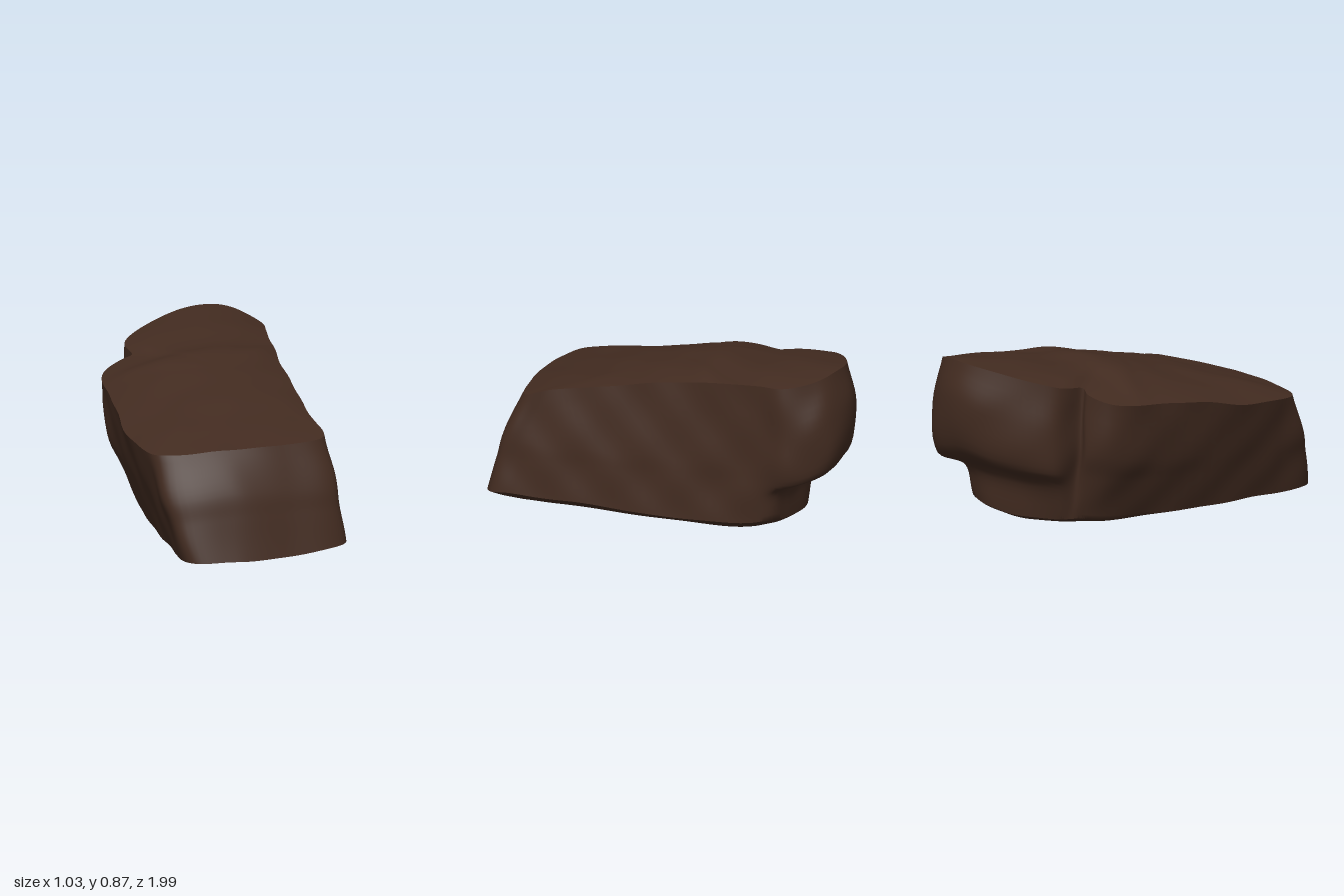
import * as THREE from 'three';
import { toCreasedNormals } from 'three/addons/utils/BufferGeometryUtils.js';

// Matching control loops, anticlockwise from above: front (0-3), right (4-8), back (9-12), notch and left (13-18)
const RIM = [
  [-0.43, 0.545, 0.74], [-0.1, 0.565, 0.79], [0.2, 0.57, 0.77], [0.43, 0.58, 0.7],
  [0.425, 0.62, 0.56], [0.42, 0.68, 0.28], [0.43, 0.77, -0.2], [0.47, 0.81, -0.6],
  [0.48, 0.82, -0.74], [0.38, 0.86, -0.91], [0.2, 0.875, -0.95], [0, 0.85, -0.88],
  [-0.245, 0.78, -0.69], [-0.255, 0.75, -0.52], [-0.3, 0.73, -0.53], [-0.42, 0.685, -0.46],
  [-0.475, 0.65, -0.1], [-0.51, 0.565, 0.4], [-0.485, 0.55, 0.62],
];
const MIDDLE = [
  [-0.41, 0.32, 0.84], [-0.1, 0.36, 0.895], [0.2, 0.36, 0.87], [0.47, 0.34, 0.805],
  [0.48, 0.34, 0.68], [0.485, 0.35, 0.3], [0.485, 0.38, -0.2], [0.49, 0.42, -0.62],
  [0.505, 0.52, -0.77], [0.4, 0.64, -0.955], [0.21, 0.7, -1], [0, 0.62, -0.93],
  [-0.25, 0.55, -0.71], [-0.25, 0.45, -0.53], [-0.3, 0.42, -0.54], [-0.4, 0.4, -0.46],
  [-0.42, 0.35, -0.15], [-0.43, 0.32, 0.4], [-0.43, 0.32, 0.66],
];
const BASE = [
  [-0.33, 0.02, 0.93], [-0.1, 0.03, 0.99], [0.2, 0.03, 0.95], [0.5, 0.06, 0.87],
  [0.515, 0.07, 0.75], [0.515, 0.07, 0.3], [0.51, 0.06, -0.2], [0.48, 0.08, -0.57],
  [0.43, 0.09, -0.66], [0.34, 0.08, -0.69], [0.2, 0.07, -0.7], [0.02, 0.06, -0.68],
  [-0.15, 0.06, -0.6], [-0.19, 0.06, -0.54], [-0.21, 0.06, -0.5], [-0.26, 0.05, -0.4],
  [-0.3, 0.04, -0.15], [-0.33, 0.02, 0.4], [-0.34, 0.02, 0.72],
];
// Overhanging lip at the back: [lip, recess below it]
const LIP = {
  8: [[0.49, 0.31, -0.77], [0.45, 0.25, -0.7]],
  9: [[0.38, 0.37, -0.935], [0.36, 0.26, -0.73]],
  10: [[0.2, 0.4, -0.955], [0.2, 0.26, -0.72]],
  11: [[0, 0.37, -0.89], [0.01, 0.26, -0.71]],
  12: [[-0.24, 0.33, -0.7], [-0.2, 0.25, -0.65]],
};
// Profile of the sloping top along the length
const ridge = new THREE.CatmullRomCurve3([
  [0, 0.88, -1], [0, 0.88, -0.9], [0, 0.855, -0.6], [0, 0.82, -0.36], [0, 0.825, -0.22], [0, 0.775, 0],
  [0, 0.68, 0.38], [0, 0.615, 0.62], [0, 0.59, 0.71], [0, 0.56, 0.8],
].map((p) => new THREE.Vector3(...p)), false, 'centripetal').getPoints(90);

const ridgeHeight = (z) => {
  const i = ridge.findIndex((p) => p.z >= z);
  if (i <= 0) return ridge.at(i).y;
  return THREE.MathUtils.mapLinear(z, ridge[i - 1].z, ridge[i].z, ridge[i - 1].y, ridge[i].y);
};

function rockGeometry() {
  const vec = (p) => new THREE.Vector3(...p);
  const mix = (i, t) => vec(MIDDLE[i]).lerp(vec(BASE[i]), t);
  const lip = MIDDLE.map((_, i) => (LIP[i] ? vec(LIP[i][0]) : mix(i, 0.35)));
  const recess = MIDDLE.map((_, i) => (LIP[i] ? vec(LIP[i][1]) : mix(i, 0.65)));
  const N = RIM.length * 9;
  const loops = [RIM.map(vec), MIDDLE.map(vec), lip, recess, BASE.map(vec)].map((points) => {
    const curve = new THREE.CatmullRomCurve3(points, true, 'centripetal');
    return Array.from({ length: N }, (_, j) => curve.getPoint(j / N));
  });

  const rings = [];
  // Top: loops growing from the centre to the rim
  for (let k = 0; k < 20; k++) {
    const s = Math.max(k / 20, 0.001);
    rings.push(loops[0].map((p) => {
      const x = 0.1 + (p.x - 0.1) * s, z = p.z * s;
      return new THREE.Vector3(x, ridgeHeight(z) + (p.y - ridgeHeight(p.z)) * s ** 2.2, z);
    }));
  }
  // Walls: a curve down each column
  const columns = loops[0].map((_, j) => new THREE.CatmullRomCurve3(loops.map((l) => l[j]), false, 'centripetal'));
  for (let k = 0; k <= 24; k++) rings.push(columns.map((c) => c.getPoint(k / 24)));
  // Underside: loops shrinking back to the centre, with a worn edge
  for (const s of [0.98, 0.94, 0.85, 0.65, 0.4, 0.2, 0.001]) {
    rings.push(loops[4].map((p) => new THREE.Vector3(0.08 + (p.x - 0.08) * s, 0.015 + (p.y - 0.015) * s ** 9, p.z * s)));
  }

  // Gentle weathering
  const position = rings.flat().flatMap(({ x, y, z }) => {
    const a = Math.sin(9 * x + 5 * z + 4 * y) * Math.sin(7 * z - 6 * y + 1);
    const b = Math.sin(19 * y + 13 * x) * Math.sin(17 * z + 11 * x + 2);
    return [x + 0.005 * b, y + 0.004 * a + 0.003 * b, z + 0.005 * a];
  });
  const index = [];
  for (let r = 0; r < rings.length - 1; r++) {
    for (let j = 0; j < N; j++) {
      const a = r * N + j, b = r * N + ((j + 1) % N);
      index.push(a, a + N, b + N, a, b + N, b);
    }
  }
  const geometry = new THREE.BufferGeometry();
  geometry.setAttribute('position', new THREE.Float32BufferAttribute(position, 3));
  geometry.setIndex(index);

  // Centre and rest on the ground
  geometry.computeBoundingBox();
  const { min, max } = geometry.boundingBox;
  geometry.translate(-(min.x + max.x) / 2, -min.y, -(min.z + max.z) / 2);
  return toCreasedNormals(geometry, 0.7);
}

export function createModel() {
  const group = new THREE.Group();
  group.name = 'boulder';
  const brownStone = new THREE.MeshStandardMaterial({ color: 0x422b20 });
  brownStone.name = 'brownStone';
  const rock = new THREE.Mesh(rockGeometry(), brownStone);
  rock.name = 'rock';
  group.add(rock);
  return group;
}
